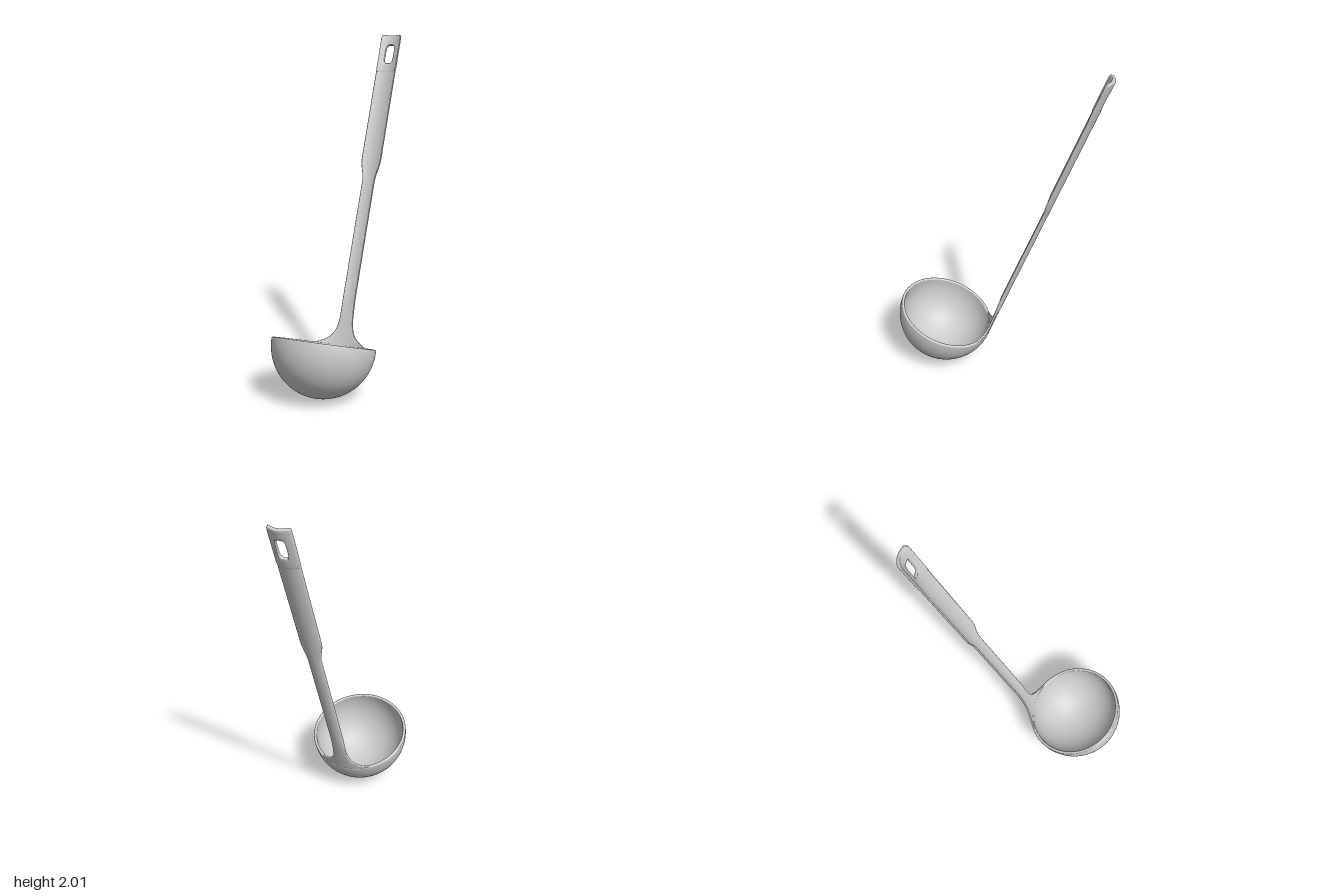
import * as THREE from 'three';

const { smoothstep, lerp, degToRad } = THREE.MathUtils;
const R = 0.293;      // outer bowl radius
const WALL = 0.018;
const LIP = 0.012;    // straight band above the half sphere
const LEAN = 0.036;   // slight sideways lean of the handle

// Handle rules by height: half width, arch radius and thickness
const shoulder = (y) => smoothstep(y, 1.0, 1.13);
const halfWidth = (y) => 0.038 + 0.122 * Math.exp(-(y - LIP) / 0.045) + 0.023 * shoulder(y);
const archRadius = (y) => lerp(R, 0.07, smoothstep(y, 0.03, 0.3)) + 0.03 * shoulder(y);
const thickness = (y) => 0.016 + 0.006 * smoothstep(y, 0.05, 0.3);

// Point on the arched strip: y along it, q across it, depth -0.5..0.5 through it
function place(y, q, depth) {
  const r = archRadius(y), t = thickness(y);
  const drop = r - Math.sqrt(r * r - q * q);
  return [R - 0.001 - t / 2 + depth * t - drop, y, LEAN * y + q];
}

// Skin over rows of points; every row is a closed loop
function skin(rows, closeRows) {
  const n = rows[0].length, m = rows.length, index = [];
  for (let i = 0; i < (closeRows ? m : m - 1); i++) {
    for (let j = 0; j < n; j++) {
      const k = (i + 1) % m, l = (j + 1) % n;
      const a = i * n + j, b = i * n + l, c = k * n + j, d = k * n + l;
      index.push(a, b, c, b, d, c);
    }
  }
  const g = new THREE.BufferGeometry();
  g.setAttribute('position', new THREE.Float32BufferAttribute(rows.flat(2), 3));
  g.setIndex(index);
  g.computeVertexNormals();
  return g;
}

// Bowl: half sphere shell with a rounded rim
function bowlGeometry() {
  const pts = [], n = 32, inner = R - WALL;
  for (let i = 0; i <= n; i++) {
    const a = (i / n) * Math.PI / 2;
    pts.push(new THREE.Vector2(R * Math.sin(a), -R * Math.cos(a)));
  }
  for (let i = 0; i <= 6; i++) {
    const a = (i / 6) * Math.PI;
    pts.push(new THREE.Vector2(R - WALL / 2 + Math.cos(a) * WALL / 2, LIP - 0.006 + Math.sin(a) * 0.006));
  }
  for (let i = n; i >= 0; i--) {
    const a = (i / n) * Math.PI / 2;
    pts.push(new THREE.Vector2(inner * Math.sin(a), -inner * Math.cos(a)));
  }
  return new THREE.LatheGeometry(pts, 96);
}

// Handle: flares into the bowl wall below, widens at the shoulder
function handleGeometry() {
  const rows = [], n = 120, loop = 36;
  for (let i = 0; i <= n; i++) {
    const y = 1.72 * (i / n) ** 2, row = [];
    for (let j = 0; j < loop; j++) {
      const a = (j / loop) * Math.PI * 2, s = Math.sin(a);
      row.push(place(y, halfWidth(y) * Math.cos(a), 0.5 * Math.sign(s) * Math.abs(s) ** 0.3));
    }
    rows.push(row);
  }
  return skin(rows, false);
}

// Grip end: rounded rectangle with a hanging slot
function gripEndGeometry() {
  const profile = [
    [0, 0.35], [0, -0.35], [0.06, -0.5], [0.35, -0.5], [0.65, -0.5], [0.94, -0.5],
    [1, -0.35], [1, 0.35], [0.94, 0.5], [0.65, 0.5], [0.35, 0.5], [0.06, 0.5],
  ];
  const outline = (a, w, h, p) => {
    const c = Math.cos(a), s = Math.sin(a);
    const k = (Math.abs(c) ** p + Math.abs(s) ** p) ** (-1 / p);
    return [w * c * k, h * s * k];
  };
  const rows = [], n = 96;
  for (let i = 0; i < n; i++) {
    const a = (i / n) * Math.PI * 2;
    const hole = outline(a, 0.027, 0.058, 4);
    const edge = outline(a, halfWidth(1.8), 0.12, 14);
    rows.push(profile.map(([u, depth]) =>
      place(1.8 + lerp(hole[1], edge[1], u), lerp(hole[0], edge[0], u), depth)));
  }
  return skin(rows, true);
}

export function createModel() {
  const material = new THREE.MeshStandardMaterial({ color: 0xcccccc });
  const ladle = new THREE.Group();
  ladle.name = 'ladle';
  const parts = { bowl: bowlGeometry(), handle: handleGeometry(), gripEnd: gripEndGeometry() };
  for (const [name, geometry] of Object.entries(parts)) {
    const mesh = new THREE.Mesh(geometry, material);
    mesh.name = name;
    ladle.add(mesh);
  }
  // Tip the bowl towards the handle and swing the handle to the back left
  ladle.rotation.set(0, degToRad(44), degToRad(-20));
  ladle.position.set(-0.237, 0.293, 0.176);

  const model = new THREE.Group();
  model.name = 'model';
  model.add(ladle);
  return model;
}
